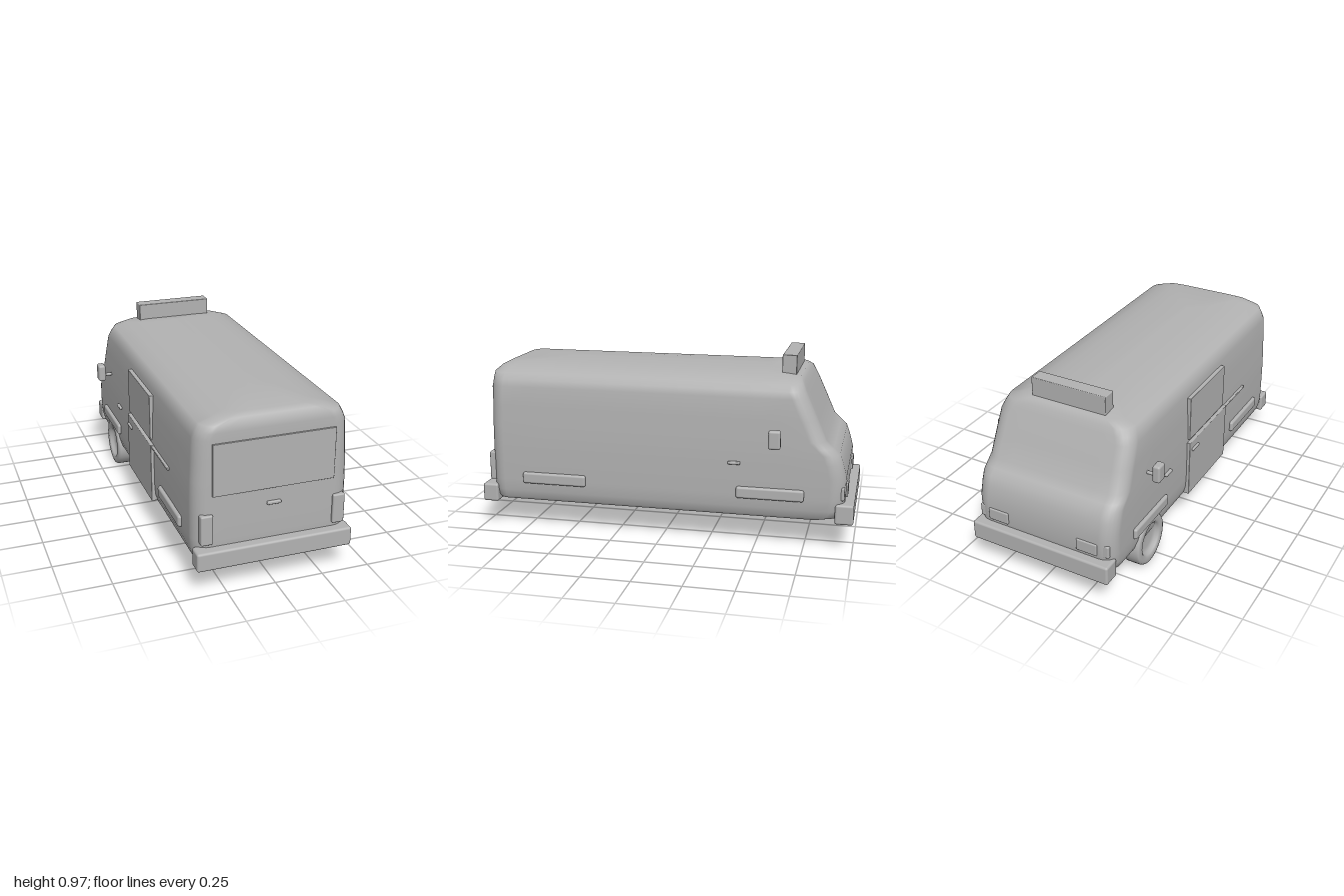
import * as THREE from 'three';
import { RoundedBoxGeometry } from 'three/addons/geometries/RoundedBoxGeometry.js';

const grey = new THREE.MeshStandardMaterial({ color: 0xb2b2b2 });
grey.name = 'plain grey';

// Rounded box given by its limits on each axis
function block(name, [x0, x1], [y0, y1], [z0, z1], radius = 0.012) {
  const w = x1 - x0, h = y1 - y0, d = z1 - z0;
  const r = Math.min(radius, Math.min(w, h, d) * 0.45);
  const mesh = new THREE.Mesh(new RoundedBoxGeometry(w, h, d, 3, r), grey);
  mesh.position.set((x0 + x1) / 2, (y0 + y1) / 2, (z0 + z1) / 2);
  mesh.name = name;
  return mesh;
}

// Van shell: stacked rounded-rectangle rings [y, halfWidth, frontZ, rearZ, cornerRadius]
function shellGeometry() {
  const levels = [
    [0.155, 0.372, -0.85, 0.925, 0.06],
    [0.17, 0.385, -0.925, 0.94, 0.07],
    [0.21, 0.396, -0.945, 0.948, 0.08],
    [0.27, 0.4, -0.955, 0.95, 0.08],
    [0.38, 0.4, -0.955, 0.95, 0.08],
    [0.45, 0.4, -0.936, 0.95, 0.08],
    [0.50, 0.399, -0.918, 0.95, 0.08],
    [0.53, 0.398, -0.885, 0.95, 0.08],
    [0.565, 0.397, -0.848, 0.95, 0.08],
    [0.67, 0.392, -0.802, 0.949, 0.08],
    [0.78, 0.386, -0.752, 0.947, 0.08],
    [0.815, 0.372, -0.735, 0.946, 0.08],
    [0.848, 0.354, -0.72, 0.943, 0.08],
    [0.872, 0.28, -0.7, 0.925, 0.07],
    [0.888, 0.21, -0.6, 0.895, 0.06],
    [0.896, 0.11, -0.55, 0.7, 0.05],
    [0.9, 0.02, -0.52, 0.6, 0.02],
  ];
  const arc = 6, sides = 8, pos = [], index = [];
  let count = 0;
  for (const [y, w, f, b, r] of levels) {
    const corners = [[w - r, b - r, 0], [r - w, b - r, 1], [r - w, f + r, 2], [w - r, f + r, 3]];
    const ring = [];
    corners.forEach(([cx, cz, q]) => {
      for (let i = 0; i <= arc; i++) {
        const a = (q + i / arc) * Math.PI / 2;
        ring.push([cx + r * Math.cos(a), cz + r * Math.sin(a)]);
      }
      // Extra points along the straight run to the next corner
      const next = corners[(q + 1) % 4], a = (q + 1) * Math.PI / 2;
      const s = [cx + r * Math.cos(a), cz + r * Math.sin(a)];
      const e = [next[0] + r * Math.cos(a), next[1] + r * Math.sin(a)];
      for (let i = 1; i < sides; i++) {
        const t = i / sides;
        ring.push([s[0] + (e[0] - s[0]) * t, s[1] + (e[1] - s[1]) * t]);
      }
    });
    count = ring.length;
    ring.forEach(([x, z]) => pos.push(x, y, z));
  }
  for (let l = 0; l < levels.length - 1; l++) {
    for (let i = 0; i < count; i++) {
      const j = (i + 1) % count, a = l * count + i, b = l * count + j;
      index.push(a, a + count, b, b, a + count, b + count);
    }
  }
  // Roof cap shares the last ring, floor uses its own flat ring
  const last = (levels.length - 1) * count;
  const top = pos.length / 3;
  pos.push(0, 0.9, 0);
  const floor = top + 1;
  for (let i = 0; i < count; i++) pos.push(pos[i * 3], pos[i * 3 + 1], pos[i * 3 + 2]);
  const centre = floor + count;
  pos.push(0, 0.155, 0);
  for (let i = 0; i < count; i++) {
    const j = (i + 1) % count;
    index.push(last + i, top, last + j, floor + i, floor + j, centre);
  }
  const g = new THREE.BufferGeometry();
  g.setAttribute('position', new THREE.Float32BufferAttribute(pos, 3));
  g.setIndex(index);
  g.computeVertexNormals();
  return g;
}

// Tyre with dished faces, axle along x
function wheel() {
  const half = [[0, 0.018], [0.06, 0.02], [0.082, 0.028], [0.09, 0.043], [0.1, 0.05], [0.122, 0.05], [0.134, 0.046], [0.14, 0.036]];
  const profile = [
    ...half.map(([r, h]) => new THREE.Vector2(r, -h)),
    ...half.slice().reverse().map(([r, h]) => new THREE.Vector2(r, h)),
  ];
  const g = new THREE.LatheGeometry(profile, 40);
  g.rotateZ(Math.PI / 2);
  const mesh = new THREE.Mesh(g, grey);
  mesh.name = 'wheel';
  return mesh;
}

export function createModel() {
  const van = new THREE.Group();
  van.name = 'van';

  const shell = new THREE.Mesh(shellGeometry(), grey);
  shell.name = 'bodyShell';
  van.add(shell);

  // Bumpers and roof sign
  van.add(block('rearBumper', [-0.4, 0.4], [0.137, 0.235], [0.915, 1]));
  van.add(block('noseBumper', [-0.395, 0.395], [0.145, 0.25], [-1, -0.905]));
  van.add(block('roofSign', [-0.21, 0.21], [0.87, 0.975], [-0.675, -0.6], 0.004));

  // Tail door details
  van.add(block('rearWindow', [-0.31, 0.31], [0.5, 0.766], [0.94, 0.956], 0.002));
  van.add(block('tailHandle', [-0.036, 0.036], [0.414, 0.432], [0.94, 0.962], 0.006));

  // Parts on both sides
  for (const s of [1, -1]) {
    const span = (a, b) => (s > 0 ? [a, b] : [-b, -a]);
    van.add(block('tailLight', span(0.308, 0.37), [0.255, 0.41], [0.92, 0.966], 0.008));
    van.add(block('headlight', span(0.2, 0.315), [0.27, 0.335], [-0.964, -0.92], 0.006));
    van.add(block('cornerLight', span(0.335, 0.375), [0.265, 0.335], [-0.95, -0.9], 0.008));
    van.add(block('rearSideTrim', span(0.38, 0.418), [0.257, 0.318], [0.41, 0.76]));
    van.add(block('noseSideTrim', span(0.38, 0.418), [0.257, 0.318], [-0.748, -0.4]));
    van.add(block('cabHandle', span(0.385, 0.415), [0.434, 0.45], [-0.42, -0.355], 0.006));
    van.add(block('mirror', span(0.436, 0.478), [0.54, 0.636], [-0.63, -0.568]));
    const arm = new THREE.Mesh(new THREE.CylinderGeometry(0.009, 0.009, 0.07, 16), grey);
    arm.rotation.z = Math.PI / 2;
    arm.position.set(s * 0.415, 0.57, -0.6);
    arm.name = 'mirrorArm';
    van.add(arm);
  }

  // Sliding side door
  van.add(block('slidingDoorWindow', [-0.41, -0.38], [0.51, 0.757], [-0.15, 0.27], 0.003));
  van.add(block('slidingDoorPanel', [-0.417, -0.385], [0.17, 0.494], [-0.16, 0.3], 0.004));
  van.add(block('slidingDoorHandle', [-0.427, -0.4], [0.434, 0.45], [-0.135, -0.06], 0.006));
  van.add(block('slidingDoorRail', [-0.412, -0.385], [0.475, 0.49], [0.29, 0.57], 0.004));

  const w = wheel();
  w.position.set(-0.36, 0.143, -0.575);
  van.add(w);

  return van;
}
